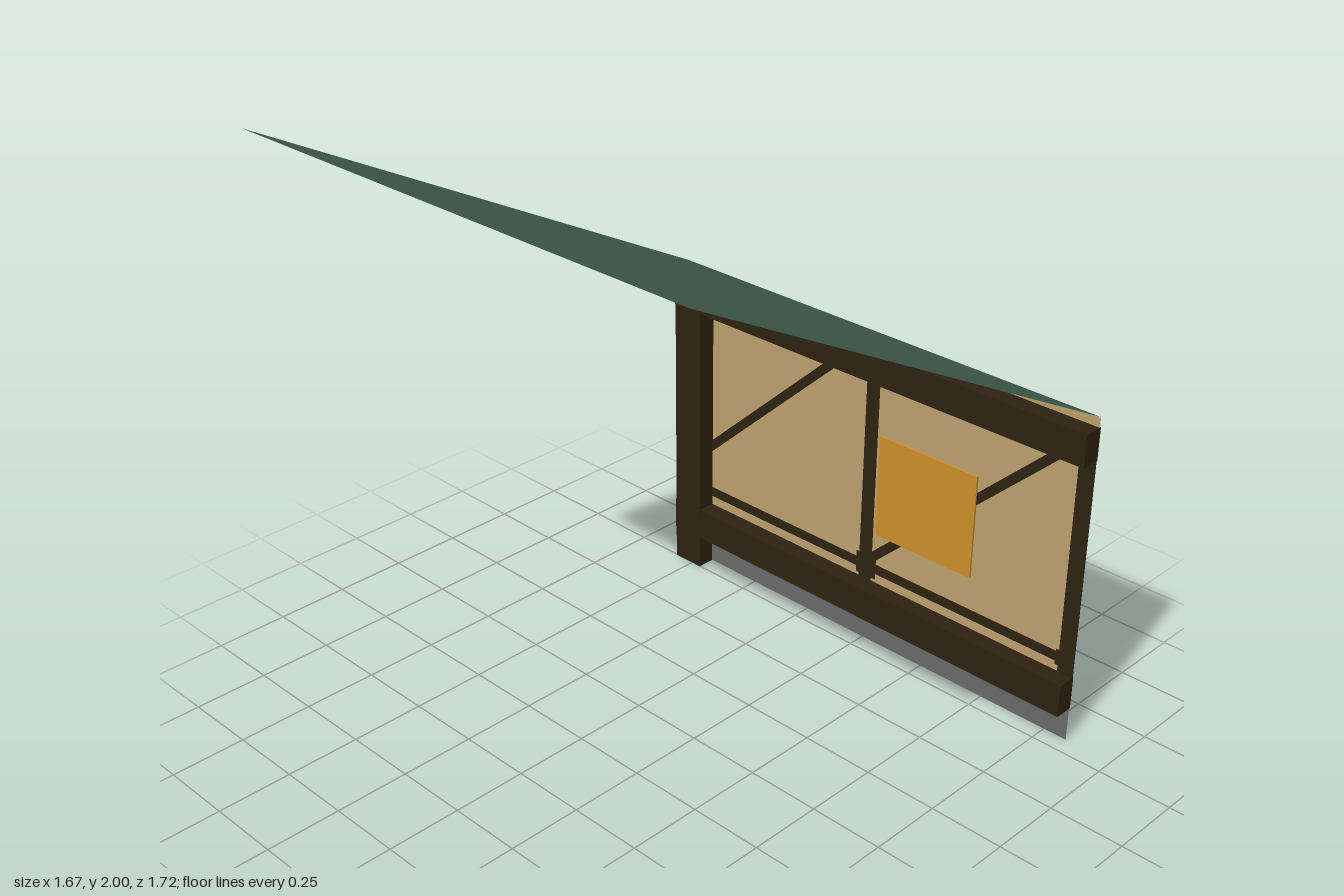
import * as THREE from 'three';

const mat = (name, color, side = THREE.FrontSide) => {
  const m = new THREE.MeshStandardMaterial({ color, side });
  m.name = name;
  return m;
};

export function createModel() {
  const group = new THREE.Group();
  const plaster = mat('plaster', 0xbc9f6e, THREE.DoubleSide);
  const stone = mat('stone', 0x686968, THREE.DoubleSide);
  const timber = mat('darkTimber', 0x2e2211);
  const amber = mat('amberShutter', 0xca8d2b);
  const roofGreen = mat('roofGreen', 0x425f4d, THREE.DoubleSide);

  const add = (name, geometry, material) => {
    const mesh = new THREE.Mesh(geometry, material);
    mesh.name = name;
    group.add(mesh);
    return mesh;
  };
  // Box given by its limits on each axis
  const box = (name, material, x0, x1, y0, y1, z0, z1) => {
    const mesh = add(name, new THREE.BoxGeometry(x1 - x0, y1 - y0, z1 - z0), material);
    mesh.position.set((x0 + x1) / 2, (y0 + y1) / 2, (z0 + z1) / 2);
    return mesh;
  };

  const W = 0.833, wallZ = -0.812, wallTop = 1.132;

  // Wall sheet: stone plinth below, plaster above
  const sheet = (name, material, y0, y1) => {
    add(name, new THREE.PlaneGeometry(2 * W, y1 - y0), material)
      .position.set(0, (y0 + y1) / 2, wallZ);
  };
  sheet('plinth', stone, 0, 0.12);
  sheet('wall', plaster, 0.12, wallTop);

  // Flat timbering, showing on both faces of the wall
  const strip = (name, x0, x1, y0, y1) =>
    box(name, timber, x0, x1, y0, y1, wallZ - 0.002, wallZ + 0.002);
  strip('middleStud', -0.028, 0.024, 0.12, 1.1);
  strip('middleStudHead', -0.055, 0.024, 1.1, wallTop);
  strip('middleStudJoint', -0.04, 0.042, 0.245, 0.325);
  strip('leftStud', 0.777, W, 0.12, 1.1);
  strip('leftStudJoint', 0.765, W, 0.255, 0.31);
  strip('rightStud', -W, -0.78, 0.12, wallTop);
  strip('lowerRail', -W, W, 0.267, 0.302);

  // Diagonal braces, one in each bay
  const brace = (name, x0, y0, x1, y1) => {
    const mesh = add(name, new THREE.BoxGeometry(Math.hypot(x1 - x0, y1 - y0), 0.032, 0.004), timber);
    mesh.position.set((x0 + x1) / 2, (y0 + y1) / 2, wallZ);
    mesh.rotation.z = Math.atan2(y1 - y0, x1 - x0);
  };
  brace('rightBrace', -0.75, 0.432, -0.12, 1.02);
  brace('leftBrace', 0.01, 0.31, 0.76, 1.02);

  // Solid frame
  box('topBeam', timber, -W, W, 0.99, 1.1, -0.817, -0.75);
  box('bottomBeam', timber, -W, W, 0.118, 0.233, -0.817, -0.75);
  box('cornerPost', timber, -0.828, -0.711, 0, 1.118, -0.821, -0.748);

  // Shutter set through the wall, with an upright bar outside
  box('shutter', amber, 0.04, 0.426, 0.42, 0.784, -0.841, -0.804);
  box('shutterBar', timber, 0.21, 0.252, 0.42, 0.784, -0.859, -0.841);

  // Single sloping roof sheet, rising to the front
  const zBack = -0.817, zFront = 0.857, rise = 2 - wallTop, run = zFront - zBack;
  const roof = add('roof', new THREE.PlaneGeometry(2 * W, Math.hypot(rise, run)), roofGreen);
  roof.rotation.x = -Math.PI / 2 - Math.atan2(rise, run);
  roof.position.set(0, (2 + wallTop) / 2, (zBack + zFront) / 2);

  return group;
}
